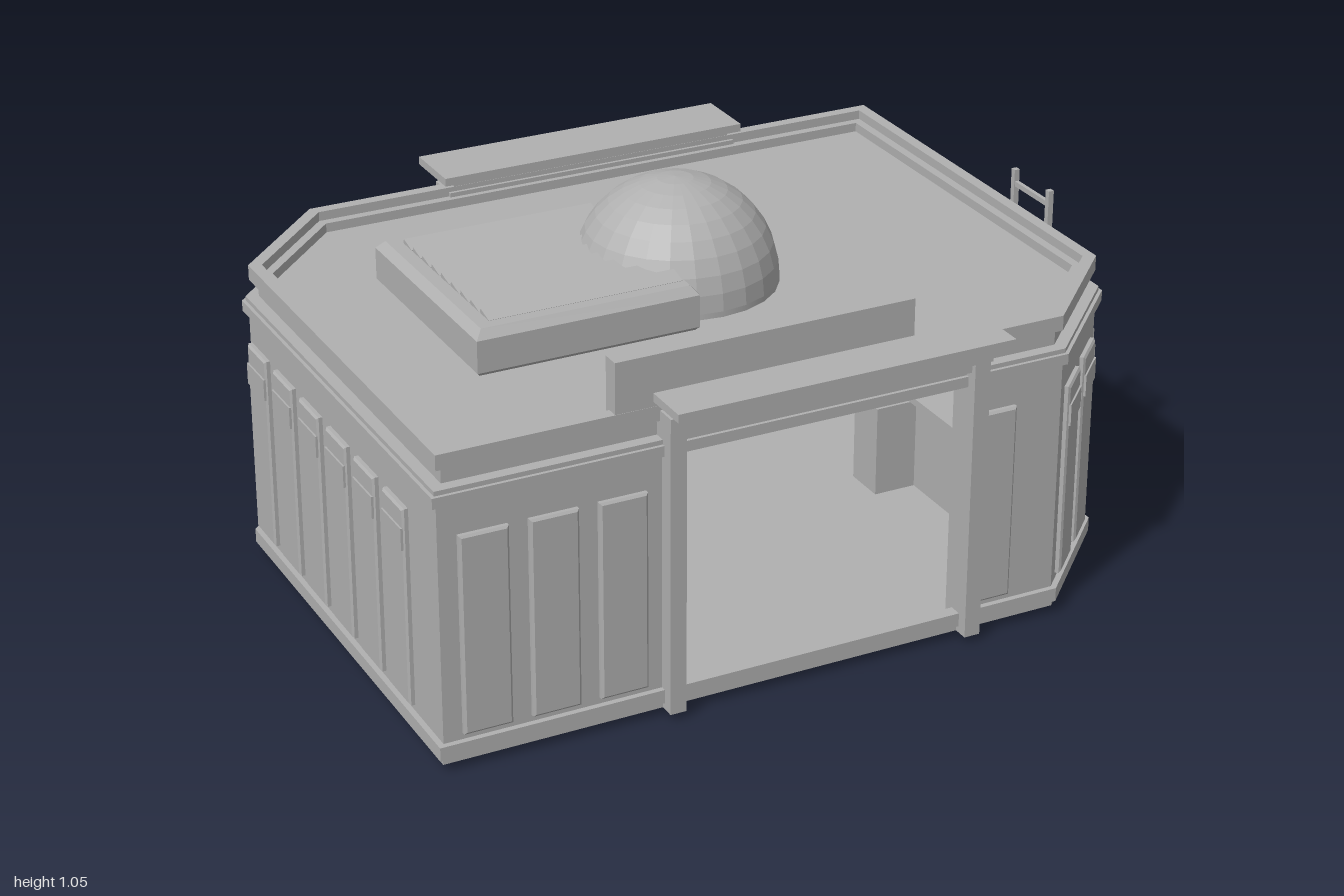
import * as THREE from 'three';

const HX = 0.975, HZ = 0.735, DIAG = 1.435; // half sizes and the cut-corner line |x + z| = DIAG

export function createModel() {
  const model = new THREE.Group();
  model.name = 'outpostBuilding';
  const grey = new THREE.MeshStandardMaterial({ color: 0xb0b0b0 });
  grey.name = 'wall grey';
  const greyFlat = grey;

  function add(name, geometry, parent = model) {
    const mesh = new THREE.Mesh(geometry, greyFlat);
    mesh.name = name;
    parent.add(mesh);
    return mesh;
  }
  // Box given by its limits
  function box(name, x0, x1, y0, y1, z0, z1, parent) {
    const m = add(name, new THREE.BoxGeometry(x1 - x0, y1 - y0, z1 - z0), parent);
    m.position.set((x0 + x1) / 2, (y0 + y1) / 2, (z0 + z1) / 2);
    return m;
  }
  // Building plan inset by d: a rectangle with two opposite corners cut
  function plan(d) {
    const x = HX - d, z = HZ - d, c = DIAG - d * Math.SQRT2;
    return [[-x, z], [c - z, z], [x, c - x], [x, -z], [z - c, -z], [-x, x - c]];
  }
  const toPoints = (pts) => pts.map(([x, z]) => new THREE.Vector2(x, -z));
  // Horizontal slab from a plan outline, optionally hollow
  function slab(name, pts, y0, y1, hole) {
    const shape = new THREE.Shape(toPoints(pts));
    if (hole) shape.holes.push(new THREE.Path(toPoints(hole)));
    const g = new THREE.ExtrudeGeometry(shape, { depth: y1 - y0, bevelEnabled: false });
    g.rotateX(-Math.PI / 2);
    g.translate(0, y0, 0);
    return add(name, g);
  }
  const ring = (name, out, inn, y0, y1) => slab(name, plan(out), y0, y1, plan(inn));

  // Floor, walls either side of the two doorways, and roof
  slab('floor', plan(0.025), 0, 0.025);
  const frontDoor = [-0.36, 0.42], backDoor = [-0.27, 0.49];
  function wallPlan(side) {
    const f = frontDoor[side], b = backDoor[side];
    const half = (d) => {
      const p = plan(d);
      const run = side ? [p[1], p[2], p[3]] : [p[0], p[5], p[4]];
      return [[f, HZ - d], ...run, [b, d - HZ]];
    };
    return [...half(0), ...half(0.05).reverse()];
  }
  slab('leftSideWall', wallPlan(1), 0.02, 0.735);
  slab('rightSideWall', wallPlan(0), 0.02, 0.735);
  ring('frieze', 0.025, 0.06, 0.735, 0.8);
  slab('roof', plan(0.03), 0.755, 0.775);

  // Mouldings round the building
  ring('lowerTrim', -0.015, 0.02, 0.035, 0.072);
  ring('baseTrim', -0.004, 0.03, 0.018, 0.04);
  ring('upperTrim', -0.015, 0.02, 0.7, 0.728);
  ring('upperTrimCap', -0.006, 0.03, 0.724, 0.74);
  ring('cornice', 0.004, 0.036, 0.785, 0.825);

  // Raised wall panels, some with a small plate near the top
  const panelShape = new THREE.Shape();
  const pw = 0.057, ph = 0.257;
  panelShape.moveTo(-pw, -ph);
  panelShape.lineTo(pw, -ph);
  panelShape.lineTo(pw, ph);
  panelShape.lineTo(-pw, ph);
  const panelGeometry = new THREE.ExtrudeGeometry(panelShape, {
    depth: 0.01, bevelThickness: 0.005, bevelSize: 0.006, bevelSegments: 1,
  });
  const plateGeometry = new THREE.BoxGeometry(0.118, 0.058, 0.008);
  function panel(x, z, angle, plate) {
    const g = new THREE.Group();
    g.name = 'wallPanel';
    g.position.set(x, 0.352, z);
    g.rotation.y = angle;
    add('panelFace', panelGeometry, g);
    if (plate) add('panelPlate', plateGeometry, g).position.set(0, 0.183, 0.0155);
    model.add(g);
  }
  for (const x of [-0.863, -0.685, -0.507, 0.503]) panel(x, HZ, 0, false);
  for (const x of [-0.54, -0.385, 0.64, 0.82]) panel(x, -HZ, Math.PI, true);
  for (let i = 0; i < 6; i++) {
    const z = 0.385 - i * 0.178;
    panel(HX, z, Math.PI / 2, true);
    panel(-HX, -z, -Math.PI / 2, true);
  }
  for (const s of [1, -1]) {
    for (const t of [-0.063, 0.063]) {
      panel(s * (0.8375 + t), s * (0.5975 - t), s > 0 ? Math.PI / 4 : -Math.PI * 0.75, true);
    }
  }

  // Door frames with lintel and awning
  function doorway(name, [a, b], s) {
    const g = new THREE.Group();
    g.name = name;
    const zBox = (part, x0, x1, y0, y1, n, f) =>
      box(part, x0, x1, y0, y1, Math.min(s * n, s * f), Math.max(s * n, s * f), g);
    zBox('doorPost', a - 0.043, a, 0.018, 0.78, 0.69, 0.78);
    zBox('doorPost', b, b + 0.043, 0.018, 0.78, 0.69, 0.78);
    zBox('innerLintel', a, b, 0.745, 0.78, 0.69, 0.765);
    zBox('lintel', a - 0.045, b + 0.045, 0.775, 0.812, 0.69, 0.787);
    zBox('awningSupport', a - 0.03, b + 0.03, 0.81, 0.84, 0.7, 0.74);
    zBox('awning', a - 0.062, b + 0.062, 0.838, 0.86, 0.68, 0.858);
    model.add(g);
  }
  doorway('frontDoorway', frontDoor, 1);
  doorway('backDoorway', backDoor, -1);
  box('signBoard', -0.52, 0.275, 0.795, 0.957, 0.682, 0.73);

  // Dome
  const dome = new THREE.SphereGeometry(0.265, 24, 9, 0, Math.PI * 2, 0, Math.PI / 2).toNonIndexed();
  dome.computeVertexNormals();
  add('dome', dome).position.set(0.005, 0.79, 0);
  add('domeBase', new THREE.CylinderGeometry(0.265, 0.265, 0.02, 24)).position.set(0.005, 0.78, 0);

  // Roof vent: bevelled housing with sloping louvres
  const cut = 0.022;
  const ventShape = new THREE.Shape(toPoints([
    [-0.66, 0.29], [-0.08 - cut, 0.29], [-0.1, 0.27], [-0.1, -0.28],
    [-0.1 - cut, -0.3], [-0.66, -0.3],
  ]));
  const vent = new THREE.ExtrudeGeometry(ventShape, {
    depth: 0.085, bevelThickness: 0.022, bevelSize: 0.02, bevelSegments: 1,
  });
  vent.rotateX(-Math.PI / 2);
  add('ventHousing', vent).position.y = 0.785;
  for (let i = 0; i < 9; i++) {
    const slat = add('ventLouvre', new THREE.BoxGeometry(0.52, 0.012, 0.05));
    slat.position.set(-0.365, 0.893, -0.24 + i * 0.059);
    slat.rotation.x = 0.25;
  }

  // Ladder on the left side
  const ladder = new THREE.Group();
  ladder.name = 'ladder';
  for (const z of [0.034, 0.2]) box('ladderRail', 0.985, 1, 0.03, 0.905, z - 0.008, z + 0.008, ladder);
  for (let i = 0; i < 13; i++) {
    const y = 0.05 + i * 0.068;
    box('ladderRung', 0.987, 0.998, y - 0.007, y + 0.007, 0.034, 0.2, ladder);
  }
  model.add(ladder);

  // Furniture inside
  box('counter', 0.72, 0.92, 0.02, 0.28, 0, 0.42);
  box('counterTop', 0.7, 0.92, 0.28, 0.3, -0.02, 0.44);
  box('counterEnd', 0.6, 0.74, 0.02, 0.28, -0.1, 0.02);
  box('deskScreen', 0.78, 0.8, 0.32, 0.42, 0.12, 0.28);
  box('screenStand', 0.78, 0.84, 0.3, 0.33, 0.17, 0.23);
  box('cabinet', -0.92, -0.78, 0.02, 0.33, -0.36, -0.18);
  box('lowCabinet', -0.92, -0.76, 0.02, 0.22, -0.12, 0.08);

  return model;
}
